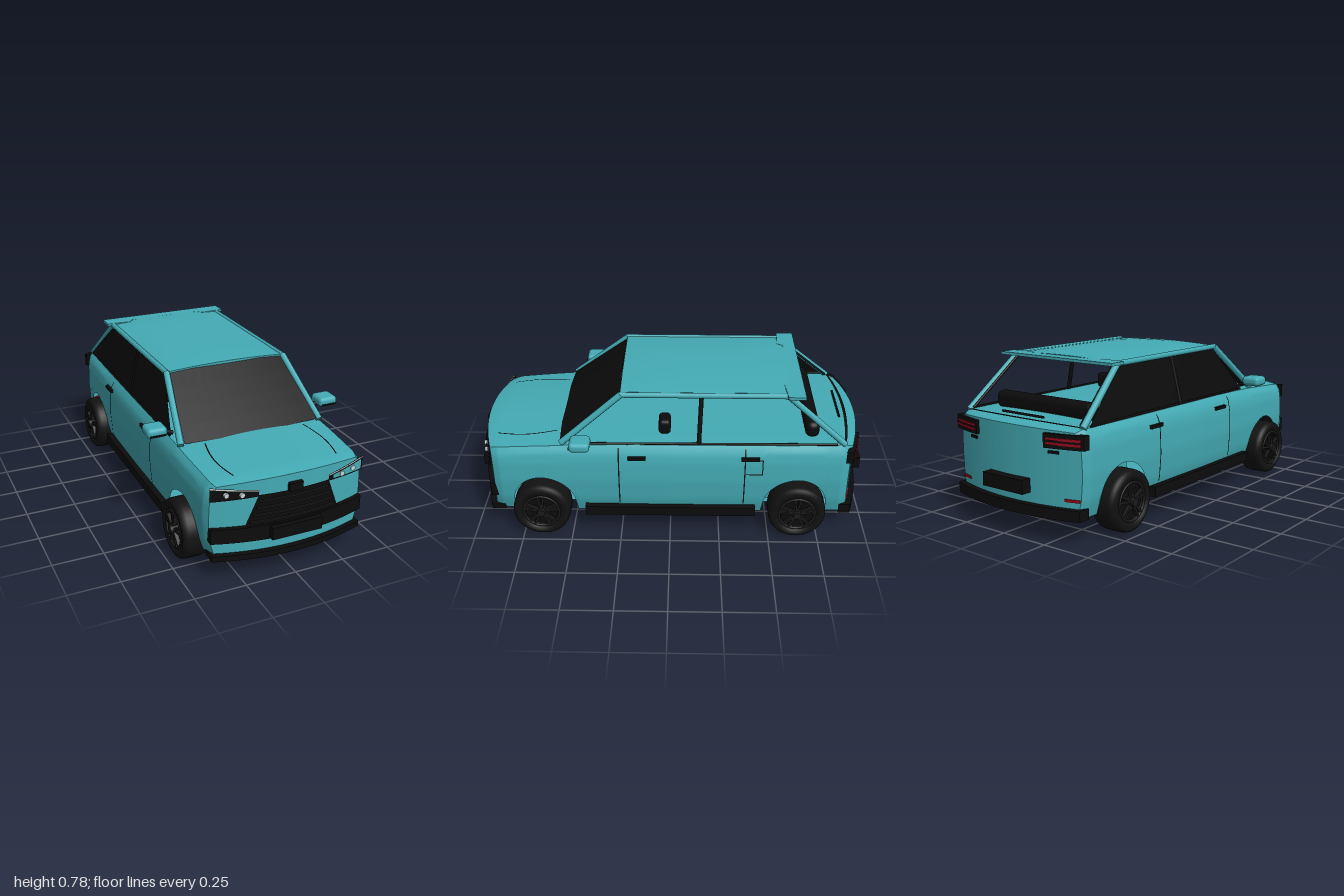
import * as THREE from 'three';
import { RoundedBoxGeometry } from 'three/addons/geometries/RoundedBoxGeometry.js';

const paint = (name, color) => new THREE.MeshStandardMaterial({ name, color, side: THREE.DoubleSide });
const V = (x, y, z) => new THREE.Vector3(x, y, z);

// linear lookup in a short table of [key, value] pairs
function lookup(table, k) {
  if (k <= table[0][0]) return table[0][1];
  for (let i = 1; i < table.length; i++) {
    const [a, va] = table[i - 1], [b, vb] = table[i];
    if (k <= b) return va + (vb - va) * (k - a) / (b - a);
  }
  return table[table.length - 1][1];
}

// body rules: plan width, belt height, flank profile, bowed ends, wheel arches
const END = 0.955, FLOOR = 0.11, AXLES = [0.65, -0.64], HUB = 0.145, ARCH = 0.175;
const WIDTH = [[-END, 0.38], [-0.9, 0.4], [-0.6, 0.412], [0, 0.418], [0.6, 0.412], [0.9, 0.4], [END, 0.385]];
const BELT = [[-END, 0.49], [-0.9, 0.505], [0.2, 0.505], [0.5, 0.497], [0.9, 0.472], [END, 0.462]];
const FLANK = [[0, 0.93], [0.2, 0.98], [0.5, 1], [0.78, 0.99], [0.92, 0.965], [1, 0.91]];
const belt = z => lookup(BELT, z);
const sideX = (z, y) => lookup(WIDTH, z) * lookup(FLANK, (y - FLOOR) / (belt(z) - FLOOR));
const deckY = (x, z) => belt(z) + (z > 0.5 ? 0.024 : 0.01) * (1 - (x / 0.38) ** 2);
const bend = (x, z) => z - 0.1 * (x / 0.4) ** 2 * z ** 7;
const inArch = z => AXLES.some(a => Math.abs(z - a) < ARCH - 0.003);
function archY(z) {
  for (const a of AXLES) {
    const d = Math.abs(z - a);
    if (d < ARCH - 0.003) return HUB + Math.sqrt(ARCH * ARCH - d * d);
  }
  return FLOOR;
}

// grid surface from a rule of (u, v)
function surface(nu, nv, rule) {
  const geo = new THREE.PlaneGeometry(1, 1, nu, nv), p = geo.attributes.position;
  for (let i = 0; i < p.count; i++) {
    const q = rule(p.getX(i) + 0.5, p.getY(i) + 0.5);
    p.setXYZ(i, q.x, q.y, q.z);
  }
  geo.computeVertexNormals();
  return geo;
}

// four-cornered patch [a, b, c, d] in 2D, projected onto a body face
function patch(c, project, nu = 12, nv = 3) {
  return surface(nu, nv, (u, v) => {
    const at = k => (c[0][k] * (1 - u) + c[1][k] * u) * (1 - v) + (c[3][k] * (1 - u) + c[2][k] * u) * v;
    return project(at(0), at(1));
  });
}
const rect = (a0, b0, a1, b1) => [[a0, b0], [a1, b0], [a1, b1], [a0, b1]];
const onNose = (off, s = 1) => (x, y) => V(x, y, bend(x, s * END) + s * off);
const onSide = s => (z, y) => V(s * (sideX(z, y) + 0.004), y, bend(sideX(z, y), z));
const onDeck = (x, z) => V(x, deckY(x, z) + 0.004, bend(x, z));

// bar that follows the bowed nose (s = 1) or tail (s = -1)
function bowedBar(w, h, d, x, y, s, off) {
  const geo = new THREE.BoxGeometry(w, h, d, 16, 1, 1), p = geo.attributes.position;
  geo.translate(x, y, 0);
  for (let i = 0; i < p.count; i++) p.setZ(i, p.getZ(i) + bend(p.getX(i), s * END) + s * off);
  geo.computeVertexNormals();
  return geo;
}

function beam(a, b, r) {
  const dir = b.clone().sub(a);
  const geo = new THREE.CylinderGeometry(r, r, dir.length(), 8);
  geo.applyQuaternion(new THREE.Quaternion().setFromUnitVectors(V(0, 1, 0), dir.normalize()));
  return geo.translate((a.x + b.x) / 2, (a.y + b.y) / 2, (a.z + b.z) / 2);
}

export function createModel() {
  const car = new THREE.Group();
  car.name = 'car';
  const teal = paint('teal paint', 0x44abb5), black = paint('black trim', 0x0c0c0c);
  const rubber = paint('tyre rubber', 0x121212), rimGrey = paint('dark rim', 0x1a1a1b);
  const red = paint('tail lamp red', 0x9c0a1c), white = paint('lamp white', 0xc9d3d8);
  const add = (name, geo, mat, parent = car) => {
    const m = new THREE.Mesh(geo, mat);
    m.name = name;
    parent.add(m);
    return m;
  };
  const box = (w, h, d, x, y, z) => new THREE.BoxGeometry(w, h, d).translate(x, y, z);
  const round = (w, h, d, r, x, y, z) => new RoundedBoxGeometry(w, h, d, 3, r).translate(x, y, z);
  const along = v => -END + 2 * END * v;

  // body shell
  for (const s of [1, -1]) {
    add('bodySide', surface(14, 190, (u, v) => {
      const z = along(v), y0 = archY(z), y = y0 + (belt(z) - y0) * u, x = sideX(z, y);
      return V(s * x, y, bend(x, z));
    }), teal);
    add(s > 0 ? 'nose' : 'tail', surface(20, 14, (u, v) => {
      const z = s * END, k = u * 2 - 1, y0 = FLOOR + (belt(z) - FLOOR) * v, x = k * sideX(z, y0);
      return V(x, y0 + v ** 4 * (deckY(x, z) - belt(z)), bend(x, z));
    }), teal);
  }
  add('hoodAndDeck', surface(16, 60, (u, v) => {
    const z = along(v), w = sideX(z, belt(z)), x = (u * 2 - 1) * w;
    return V(x, belt(z) + (deckY(x, z) - belt(z)) * Math.min(1, (1 - Math.abs(x) / w) * 12), bend(x, z));
  }), teal);
  add('floor', surface(8, 190, (u, v) => {
    const z = along(v), x = (u * 2 - 1) * (inArch(z) ? 0.31 : sideX(z, FLOOR));
    return V(x, FLOOR, bend(x, z));
  }), teal);
  add('rearBulkhead', box(0.56, 0.24, 0.36, 0, 0.235, -0.64), teal);

  // roof and spoiler
  const roof = new THREE.BoxGeometry(0.63, 0.016, 0.83, 14, 1, 10), rp = roof.attributes.position;
  for (let i = 0; i < rp.count; i++) {
    const x = rp.getX(i), z = rp.getZ(i);
    rp.setY(i, rp.getY(i) + 0.747 + 0.022 * (1 - (x / 0.315) ** 2) * (1 - 0.5 * (z / 0.415) ** 4));
  }
  roof.translate(0, 0, -0.17).computeVertexNormals();
  add('roof', roof, teal);
  const wing = new THREE.Shape([[-0.35, -0.65], [0.35, -0.65], [0.35, -0.565], [0.22, -0.555], [0.2, -0.585],
    [-0.2, -0.585], [-0.22, -0.555], [-0.35, -0.565]].map(([x, y]) => new THREE.Vector2(x, y)));
  add('spoiler', new THREE.ExtrudeGeometry(wing, { depth: 0.014, bevelEnabled: false })
    .rotateX(Math.PI / 2).translate(0, 0.763, 0), teal);

  // pillars and window trim
  for (const s of [1, -1]) {
    add('frontPillar', beam(V(s * 0.368, 0.505, 0.54), V(s * 0.316, 0.752, 0.24), 0.017), teal);
    add('rearPillar', beam(V(s * 0.358, 0.505, -0.86), V(s * 0.316, 0.75, -0.57), 0.016), teal);
    add('roofRail', beam(V(s * 0.316, 0.75, 0.25), V(s * 0.316, 0.75, -0.57), 0.014), teal);
    add('middlePillar', beam(V(s * 0.37, 0.505, -0.14), V(s * 0.314, 0.75, -0.15), 0.011), black);
    add('windowSill', beam(V(s * 0.376, 0.508, 0.42), V(s * 0.368, 0.51, -0.82), 0.006), black);
    add('hatchSeal', beam(V(s * 0.338, 0.515, -0.85), V(s * 0.3, 0.745, -0.58), 0.006), black);
    add('headrest', round(0.1, 0.08, 0.06, 0.02, s * 0.24, 0.545, 0.03), black);
  }
  add('windshield', surface(12, 4, (u, v) => {
    const k = u * 2 - 1;
    return V(k * (0.352 - 0.05 * v), 0.512 + 0.243 * v, 0.545 - 0.31 * v + 0.015 * (1 - k * k));
  }), black);
  add('sideGlass', patch([[0.43, 0.51], [-0.83, 0.51], [-0.56, 0.748], [0.22, 0.748]],
    (z, y) => V(-(0.372 - 0.054 * (y - 0.51) / 0.238), y, z)), black);
  add('hatchLowerSeal', patch(rect(-0.345, -0.905, 0.345, -0.89), onDeck, 16, 1), black);
  add('wiper', beam(V(-0.13, 0.527, -0.86), V(0.13, 0.527, -0.86), 0.006), black);
  add('parcelShelf', round(0.61, 0.085, 0.07, 0.03, 0, 0.545, -0.705), black);

  // front grille, intakes and bumper lip
  add('grille', patch([[-0.235, 0.265], [0.235, 0.265], [0.175, 0.415], [-0.175, 0.415]], onNose(0.012)), black);
  for (let i = 0; i < 4; i++)
    add('grilleSlat', bowedBar(0.43 - i * 0.028, 0.008, 0.012, 0, 0.285 + i * 0.034, 1, 0.016), rimGrey);
  add('grilleBadgePlate', bowedBar(0.066, 0.04, 0.02, 0, 0.428, 1, 0.01), black);
  add('lowerIntake', bowedBar(0.77, 0.072, 0.035, 0, 0.228, 1, 0.005), black);
  add('frontPlate', box(0.25, 0.06, 0.03, 0, 0.23, 0.985), black);
  add('frontLip', bowedBar(0.76, 0.028, 0.07, 0, 0.117, 1, -0.008), black);

  // headlights
  for (const s of [1, -1]) {
    const lamp = [[s * 0.175, 0.408], [s * 0.386, 0.398], [s * 0.386, 0.468], [s * 0.175, 0.44]];
    add('headlight', patch(lamp, onNose(0.012)), black);
    add('headlightTopEdge', patch([lamp[3], lamp[2], [s * 0.386, 0.461], [s * 0.175, 0.434]], onNose(0.016)), white);
    if (s > 0) add('headlightInner', patch([[0.2, 0.415], [0.375, 0.406], [0.375, 0.454], [0.2, 0.432]],
      onNose(0.015)), teal);
    for (const [x, y] of [[0.25, 0.425], [0.318, 0.43]])
      add('headlightLens', new THREE.CylinderGeometry(0.012, 0.012, 0.012, 16).rotateX(Math.PI / 2)
        .translate(s * x, y, bend(x, END) + 0.015), white);
  }

  // tail lamps, rear plate and bumper
  for (const s of [1, -1]) {
    add('tailLampHousing', bowedBar(0.19, 0.065, 0.035, s * 0.305, 0.452, -1, 0), black);
    for (const y of [0.462, 0.442])
      add('tailLampBar', bowedBar(0.165, 0.011, 0.008, s * 0.305, y, -1, 0.018), red);
    add('tailLampLowerTrim', bowedBar(0.05, 0.012, 0.012, s * 0.25, 0.4, -1, 0.002), black);
    add('reflector', bowedBar(0.07, 0.012, 0.008, s * 0.335, 0.19, -1, 0.002), red);
  }
  add('rearPlate', box(0.25, 0.065, 0.05, 0, 0.235, -0.975), black);
  add('rearBumper', bowedBar(0.77, 0.05, 0.06, 0, 0.13, -1, 0), black);

  // side details
  for (const s of [1, -1]) {
    const put = onSide(s);
    add('sideSkirt', box(0.035, 0.05, 0.86, s * 0.412, 0.133, 0), black);
    for (const z of [0.255, -0.37])
      add('doorSeam', patch(rect(z - 0.003, 0.17, z + 0.003, 0.492), put, 1, 14), black);
    for (const z of [0.165, -0.395])
      add('doorHandle', box(0.018, 0.016, 0.09, s * (sideX(z, 0.445) + 0.005), 0.445, z), black);
    if (s > 0) for (const r of [[-0.46, 0.355, -0.37, 0.36], [-0.46, 0.435, -0.37, 0.44], [-0.46, 0.355, -0.455, 0.44]])
      add('fuelFlapSeam', patch(rect(...r), put, 2, 4), black);
    add('hoodSeam', surface(1, 16, (u, v) =>
      onDeck(s * (0.26 + 0.022 * Math.sin(Math.PI * v) + (u - 0.5) * 0.006), 0.57 + 0.32 * v)), black);
    add('mirrorHousing', round(0.1, 0.05, 0.1, 0.02, s * 0.456, 0.557, 0.435), teal);
    add('mirrorStrip', box(0.075, 0.008, 0.006, s * 0.456, 0.547, 0.485), black);
    add('mirrorStalk', beam(V(s * 0.365, 0.525, 0.43), V(s * 0.43, 0.545, 0.43), 0.011), black);
  }

  // wheels: axis along x, outer face towards local +x
  const tyre = [[0.088, -0.06], [0.125, -0.068], [0.141, -0.055], [0.145, -0.035], [0.145, 0.035],
    [0.141, 0.055], [0.125, 0.066], [0.095, 0.06], [0.088, 0.03]].map(([r, h]) => new THREE.Vector2(r, h));
  for (const z of AXLES) for (const s of [1, -1]) {
    const wheel = new THREE.Group();
    wheel.name = 'wheel';
    wheel.position.set(s * 0.395, HUB, z);
    wheel.rotation.y = s > 0 ? 0 : Math.PI;
    car.add(wheel);
    add('tyre', new THREE.LatheGeometry(tyre, 40).rotateZ(-Math.PI / 2), rubber, wheel);
    add('rimDisc', new THREE.CylinderGeometry(0.09, 0.09, 0.08, 32).rotateZ(Math.PI / 2), black, wheel);
    add('rimRing', new THREE.TorusGeometry(0.09, 0.007, 8, 36).rotateY(Math.PI / 2).translate(0.058, 0, 0), rimGrey, wheel);
    add('hubCap', new THREE.CylinderGeometry(0.02, 0.024, 0.05, 16).rotateZ(-Math.PI / 2).translate(0.055, 0, 0), rimGrey, wheel);
    for (let i = 0; i < 5; i++) for (const k of [-0.16, 0.16])
      add('spoke', box(0.018, 0.075, 0.011, 0.056, 0.05, 0).rotateX(i * Math.PI * 0.4 + k), rimGrey, wheel);
  }
  return car;
}
